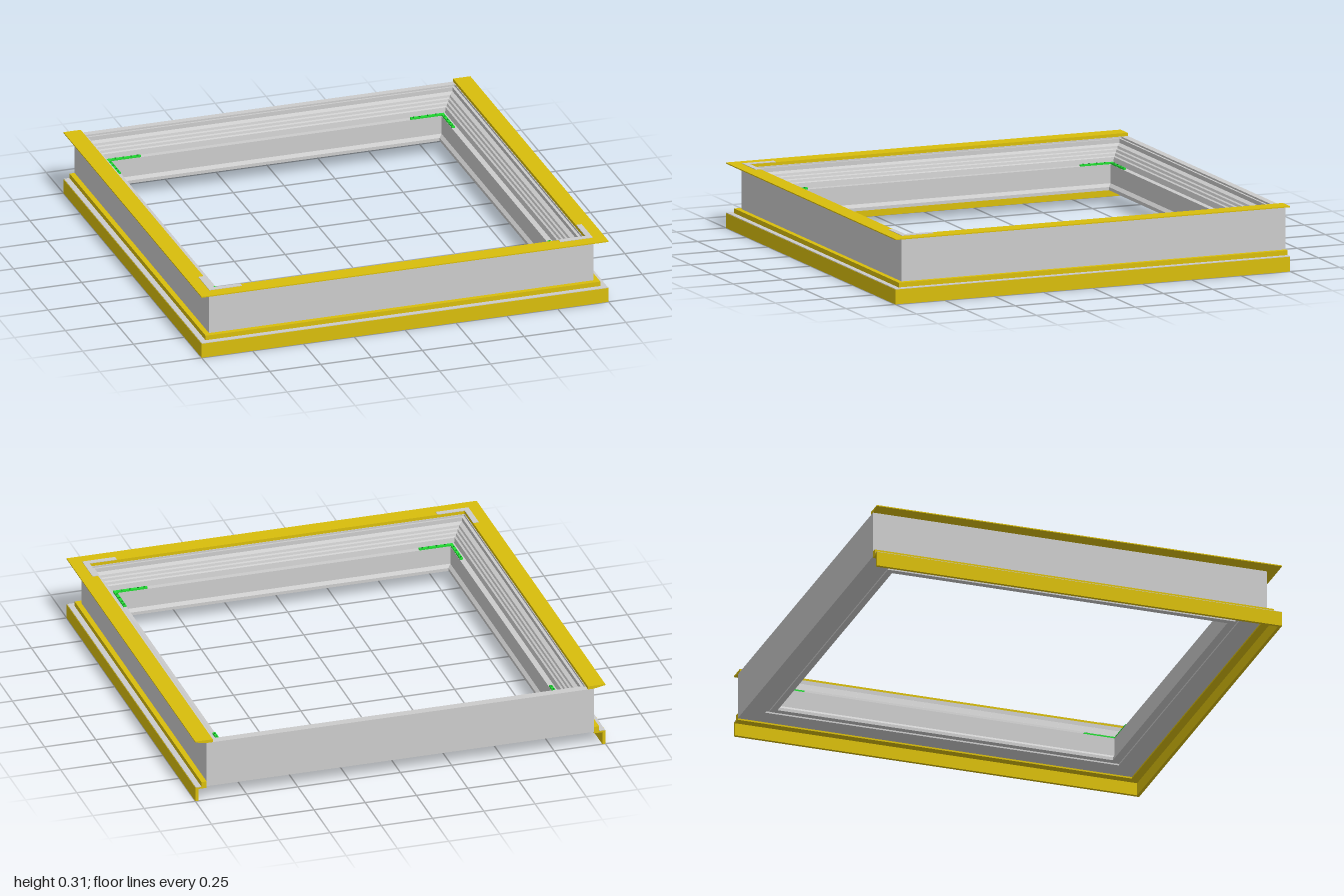
import * as THREE from 'three';

const BACK = 0.055; // the rear rail sits this much further out
const grey = () => new THREE.MeshStandardMaterial({ color: 0xcccccc, flatShading: true });
const yellow = () => new THREE.MeshStandardMaterial({ color: 0xd8bd0c, flatShading: true });
const green = () => new THREE.MeshStandardMaterial({ color: 0x22dd33, flatShading: true });

// Mitred corners at distance d from the centre
const closedPath = d => [[-d, -d - BACK], [-d, d], [d, d], [d, -d - BACK]];
const openPath = d => [[-d, -1], [-d, d], [d, d], [d, -1]];

// Sweep a counter-clockwise profile of (distance, height) along the frame
function sweep(name, profile, closed, material) {
  const path = closed ? closedPath : openPath;
  const at = (i, k) => {
    const [d, y] = profile[i % profile.length];
    const [x, z] = path(d)[k % 4];
    return [x, y, z];
  };
  const pos = [];
  for (let k = 0; k < (closed ? 4 : 3); k++) {
    for (let i = 0; i < profile.length; i++) {
      const a = at(i, k), b = at(i, k + 1), c = at(i + 1, k + 1), d = at(i + 1, k);
      pos.push(...a, ...b, ...c, ...a, ...c, ...d);
    }
  }
  if (!closed) {
    const outline = profile.map(p => new THREE.Vector2(...p));
    for (const [a, b, c] of THREE.ShapeUtils.triangulateShape(outline, [])) {
      pos.push(...at(a, 0), ...at(b, 0), ...at(c, 0));
      pos.push(...at(c, 3), ...at(b, 3), ...at(a, 3));
    }
  }
  const geometry = new THREE.BufferGeometry();
  geometry.setAttribute('position', new THREE.Float32BufferAttribute(pos, 3));
  geometry.computeVertexNormals();
  const mesh = new THREE.Mesh(geometry, material);
  mesh.name = name;
  return mesh;
}

// Flat L-shaped plate whose outer corner is at (x, z), arms pointing to the centre
function cornerPlate(name, x, z, arm, width, y, height, material) {
  const group = new THREE.Group();
  group.name = name;
  const sx = Math.sign(x), sz = Math.sign(z);
  const along = new THREE.Mesh(new THREE.BoxGeometry(arm, height, width), material);
  along.position.set(x - sx * arm / 2, y, z - sz * width / 2);
  const across = new THREE.Mesh(new THREE.BoxGeometry(width, height, arm - width), material);
  across.position.set(x - sx * width / 2, y, z - sz * (arm + width) / 2);
  group.add(along, across);
  return group;
}

export function createModel() {
  const model = new THREE.Group();
  model.name = 'frame';

  // Ribbed inner slope of the rails
  const ribs = [];
  for (let i = 0; i < 4; i++) {
    const d = 0.885 - i * 0.011, y = 0.265 - i * 0.015;
    ribs.push([d, y], [d - 0.008, y - 0.004]);
  }

  // Main rails, from the underside round the outer wall to the inner lip
  model.add(sweep('rails', [
    [0.80, 0.07], [0.83, 0.07], [0.83, 0.078], [0.845, 0.078], [0.845, 0.07],
    [0.945, 0.07], [0.945, 0.295],
    [0.912, 0.295], [0.912, 0.285], [0.905, 0.285], [0.905, 0.29], [0.895, 0.29], [0.895, 0.27],
    ...ribs,
    [0.84, 0.19], [0.813, 0.19], [0.813, 0.10], [0.80, 0.085],
  ], true, grey()));

  // Top flange on the front and both sides, thinning outwards
  model.add(sweep('topFlange', [
    [0.915, 0.295], [0.945, 0.295], [1, 0.305], [1, 0.31], [0.915, 0.31],
  ], false, yellow()));

  // Stepped lower trim with a hanging lip, and the strip on its ledge
  model.add(sweep('lowerTrim', [
    [0.945, 0.062], [0.985, 0.062], [0.985, 0], [1, 0], [1, 0.07],
    [0.97, 0.07], [0.97, 0.095], [0.945, 0.095],
  ], false, yellow()));
  model.add(sweep('ledgeStrip', [
    [0.971, 0.07], [0.998, 0.07], [0.998, 0.073], [0.971, 0.073],
  ], false, grey()));

  // Corner plates: four inside on the lip, two on the front of the flange
  const bracketMat = green(), plateMat = grey();
  const dotMat = new THREE.MeshStandardMaterial({ color: 0x117722 });
  const dotGeo = new THREE.CylinderGeometry(0.004, 0.004, 0.003, 8);
  for (const sx of [-1, 1]) {
    for (const z of [0.828, -0.828 - BACK]) {
      const bracket = cornerPlate('cornerBracket', sx * 0.828, z, 0.165, 0.014, 0.194, 0.008, bracketMat);
      for (const t of [0.04, 0.08, 0.12, 0.15]) {
        const sz = Math.sign(z);
        for (const [u, v] of [[t, 0.007], [0.007, t]]) {
          const dot = new THREE.Mesh(dotGeo, dotMat);
          dot.name = 'bracketScrew';
          dot.position.set(sx * (0.828 - u), 0.199, z - sz * v);
          bracket.add(dot);
        }
      }
      model.add(bracket);
    }
    model.add(cornerPlate('flangeCornerPlate', sx * 0.942, 0.942, 0.16, 0.027, 0.311, 0.003, plateMat));
  }
  return model;
}
